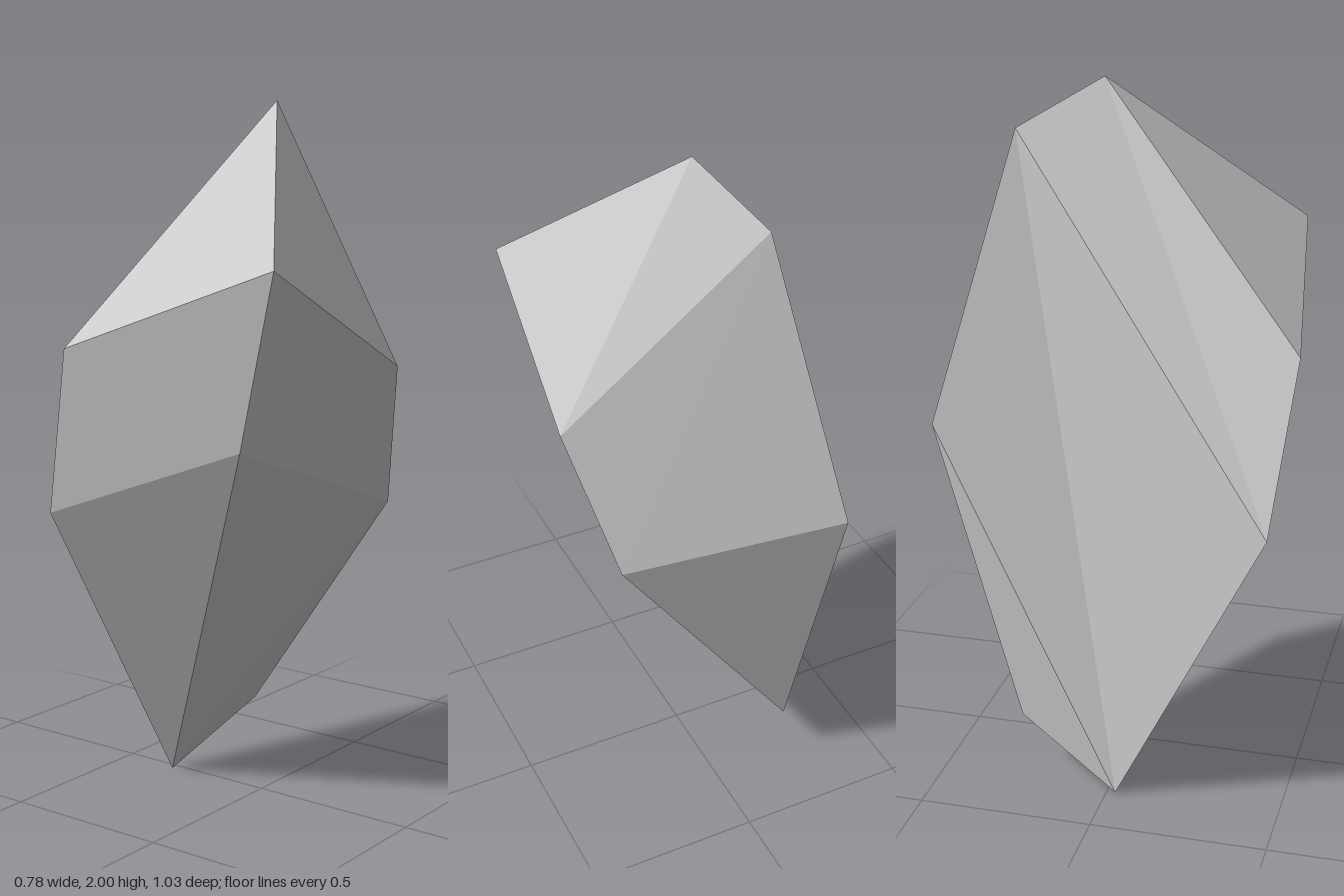
import * as THREE from 'three';

// Corner points of the faceted shard
const corners = {
  tip: [-0.005, 2, -0.08],
  backTip: [-0.115, 1.87, -0.3],
  frontHigh: [0.35, 1.57, 0.425],
  frontSide: [-0.28, 1.34, 0.515],
  sideHigh: [0.39, 1.28, -0.1],
  frontLow: [0.205, 1.085, 0.375],
  waist: [-0.395, 0.865, 0.46],
  sideLow: [0.28, 0.865, -0.235],
  back: [-0.262, 1.06, -0.515],
  foot: [-0.32, 0, 0.025],
  backFoot: [-0.23, 0.165, -0.28],
};

// Flat facets, each a loop of corners counter-clockwise from outside
const facets = [
  // crown
  'tip frontSide frontHigh',
  'tip frontHigh sideHigh',
  'tip sideHigh backTip',
  'tip backTip waist frontSide',
  // girdle
  'frontSide waist frontLow frontHigh',
  'frontHigh frontLow sideLow sideHigh',
  'backTip sideHigh sideLow',
  'backTip sideLow back',
  'backTip back foot waist',
  // taper to the foot
  'waist foot frontLow',
  'foot backFoot sideLow frontLow',
  'back sideLow backFoot',
  'back backFoot foot',
];

function facetGeometry() {
  const positions = [];
  for (const facet of facets) {
    const loop = facet.split(' ').map((name) => corners[name]);
    for (let i = 1; i < loop.length - 1; i++) {
      positions.push(...loop[0], ...loop[i], ...loop[i + 1]);
    }
  }
  const geometry = new THREE.BufferGeometry();
  geometry.setAttribute('position', new THREE.Float32BufferAttribute(positions, 3));
  geometry.computeVertexNormals();
  return geometry;
}

export function createModel() {
  const group = new THREE.Group();
  group.name = 'crystalShard';
  const material = new THREE.MeshStandardMaterial({ color: 0xcccccc, flatShading: true });
  const shard = new THREE.Mesh(facetGeometry(), material);
  shard.name = 'shard';
  group.add(shard);
  return group;
}
